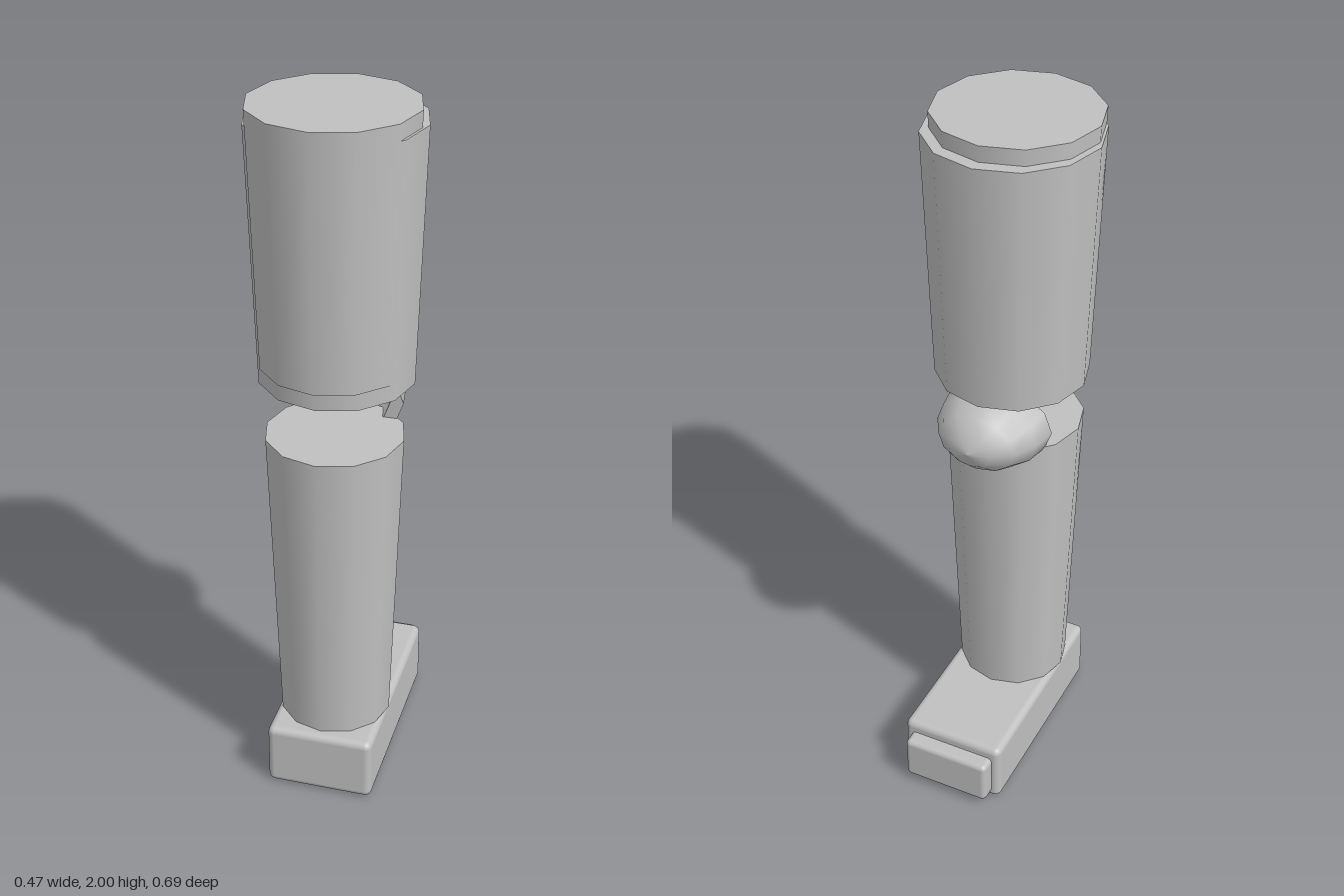
import * as THREE from 'three';
import { RoundedBoxGeometry } from 'three/addons/geometries/RoundedBoxGeometry.js';

export function createModel() {
  const model = new THREE.Group();
  const grey = new THREE.MeshStandardMaterial({ color: 0xc0c0c0 });
  grey.name = 'grey';

  function add(name, geometry, x, y, z) {
    const mesh = new THREE.Mesh(geometry, grey);
    mesh.name = name;
    mesh.position.set(x, y, z);
    model.add(mesh);
    return mesh;
  }

  // Tapered twelve-sided limb section between two heights
  function limb(name, topRadius, bottomRadius, bottom, top, z) {
    const geometry = new THREE.CylinderGeometry(topRadius, bottomRadius, top - bottom, 12);
    add(name, geometry, 0, (top + bottom) / 2, z);
  }

  // Rounded block from its bounds, centred on x
  function block(name, width, y0, y1, z0, z1, radius) {
    const geometry = new RoundedBoxGeometry(width, y1 - y0, z1 - z0, 3, radius);
    add(name, geometry, 0, (y0 + y1) / 2, (z0 + z1) / 2);
  }

  limb('thighCore', 0.223, 0.2, 1.3, 2, 0.122);
  limb('thighArmor', 0.235, 0.211, 1.25, 1.956, 0.099);
  limb('shin', 0.19, 0.159, 0.192, 1.087, 0.122);

  block('foot', 0.306, 0, 0.191, -0.3, 0.309, 0.02);
  block('toe', 0.26, 0.02, 0.157, -0.345, -0.25, 0.015);

  // Hollow knee cup: outer dome, flat rim and inner dome, opening forward
  const arc = (radius, depth) => Array.from({ length: 5 }, (_, i) => {
    const a = (i / 4) * Math.PI / 2;
    return new THREE.Vector2(i === 0 ? 0 : radius * Math.sin(a), -depth * Math.cos(a));
  });
  const knee = new THREE.Group();
  knee.name = 'kneeCup';
  const outer = arc(1, 1);
  const inner = arc(0.77, 0.8).reverse();
  const profiles = {
    kneeShell: outer,
    kneeRim: [outer[4], inner[0]],
    kneeHollow: inner,
  };
  for (const [name, points] of Object.entries(profiles)) {
    const geometry = new THREE.LatheGeometry(points, 12);
    geometry.rotateX(Math.PI / 2);
    geometry.scale(0.16, 0.116, 0.187);
    const mesh = new THREE.Mesh(geometry, grey);
    mesh.name = name;
    knee.add(mesh);
  }
  knee.position.set(0, 1.135, 0.01);
  model.add(knee);

  return model;
}
